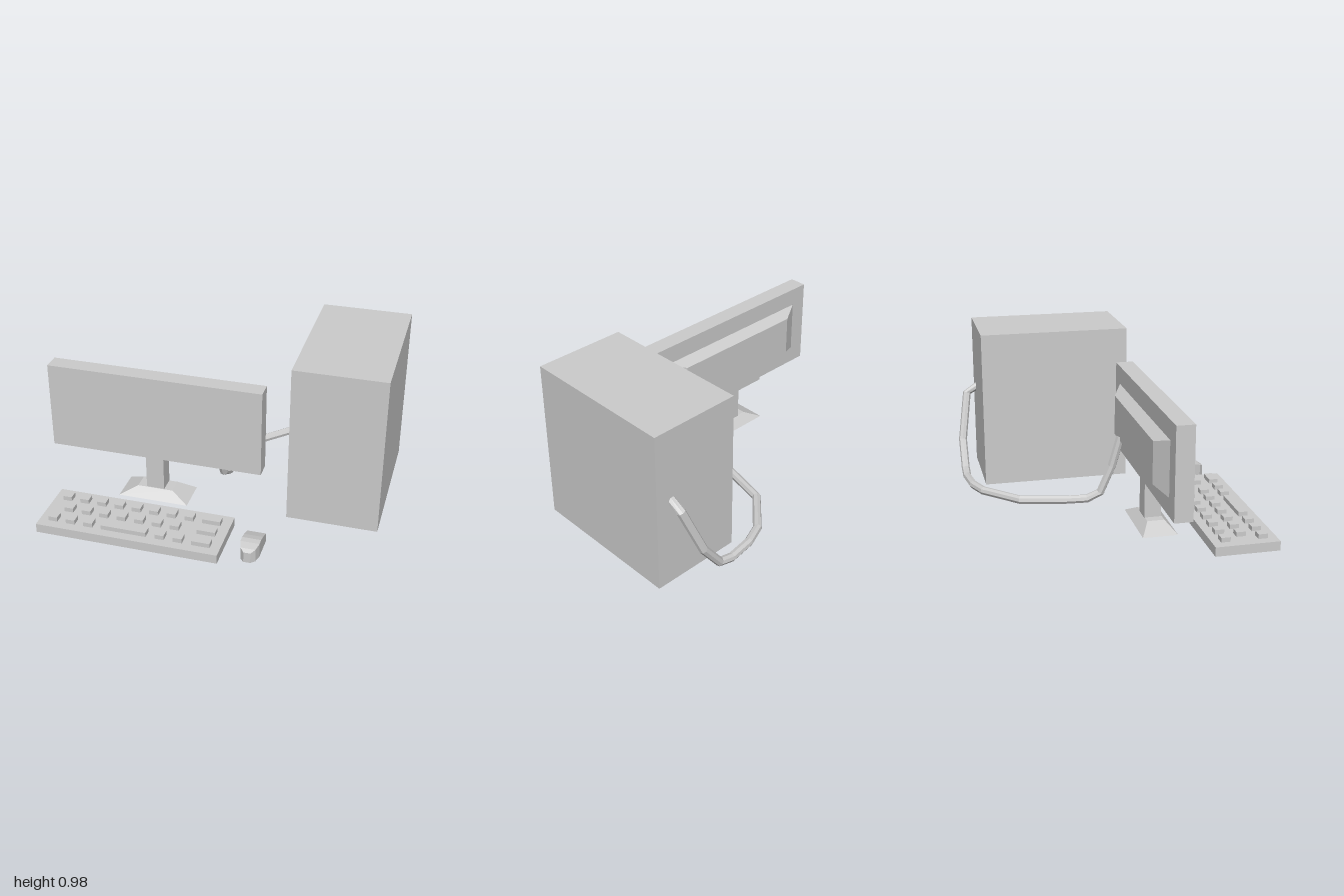
import * as THREE from 'three';

const material = new THREE.MeshStandardMaterial({ color: 0xcccccc, flatShading: true });

function add(group, name, geometry) {
  const mesh = new THREE.Mesh(geometry, material);
  mesh.name = name;
  group.add(mesh);
  return mesh;
}

// Box given by its extents along each axis
function box([x0, x1], [y0, y1], [z0, z1]) {
  return new THREE.BoxGeometry(x1 - x0, y1 - y0, z1 - z0)
    .translate((x0 + x1) / 2, (y0 + y1) / 2, (z0 + z1) / 2);
}

// Box whose upper or rear face shrinks about its centre: scale = [x, y, z]
function taperedBox(xs, ys, zs, isSmallEnd, scale) {
  const geometry = box(xs, ys, zs);
  const p = geometry.attributes.position;
  const centre = [xs, ys, zs].map(([a, b]) => (a + b) / 2);
  for (let i = 0; i < p.count; i++) {
    const v = [p.getX(i), p.getY(i), p.getZ(i)];
    if (isSmallEnd(v, centre)) p.setXYZ(i, ...v.map((c, k) => centre[k] + (c - centre[k]) * scale[k]));
  }
  geometry.computeVertexNormals();
  return geometry;
}

function createMonitor() {
  const g = new THREE.Group();
  g.name = 'monitor';
  add(g, 'screenPanel', box([-1, 0.3], [0.265, 0.8], [0.15, 0.255]));
  add(g, 'rearHousing', taperedBox([-0.9, 0.2], [0.37, 0.69], [0.09, 0.15],
    (v, c) => v[2] < c[2], [0.79, 0.76, 1]));
  add(g, 'standNeck', box([-0.41, -0.3], [0.05, 0.27], [0.15, 0.25]));
  add(g, 'standBase', taperedBox([-0.57, -0.14], [0, 0.055], [0.1, 0.307],
    (v, c) => v[1] > c[1], [0.51, 1, 0.49]));
  return g;
}

function createKeyboard() {
  const g = new THREE.Group();
  g.name = 'keyboard';
  add(g, 'keyboardBase', box([-0.895, 0.19], [0, 0.055], [0.42, 0.795]));
  const key = 0.054, step = 0.108, left = -0.84;
  const addKey = (name, x, z, width = key) =>
    add(g, name, box([x, x + width], [0.05, 0.082], [z, z + key]));
  // Each row: depth, sideways shift in steps, occupied slots
  const rows = [
    [0.47, 0, [0, 1, 2, 3, 4, 5, 6, 7]],
    [0.577, 0.5, [0, 1, 2, 3, 4, 5, 6]],
    [0.686, 0, [0, 1, 2, 6, 7]],
  ];
  for (const [z, shift, slots] of rows) {
    for (const s of slots) addKey('key', left + (s + shift) * step, z);
    addKey('wideKey', left + 8 * step, z, 2 * key);
  }
  addKey('spaceBar', left + 3 * step, 0.686, 5 * key);
  return g;
}

// Cross-sections running from the back of the mouse to its nose
function createMouseGeometry() {
  const sections = [ // z, half width, height
    [0.52, 0.055, 0.055], [0.59, 0.055, 0.08], [0.635, 0.055, 0.091], [0.67, 0.055, 0.089],
    [0.715, 0.043, 0.078], [0.738, 0.02, 0.065],
  ];
  const positions = [], index = [];
  for (const [z, w, h] of sections) positions.push(-w, 0, z, w, 0, z, w, h, z, -w, h, z);
  for (let i = 0; i < sections.length - 1; i++) {
    for (let k = 0; k < 4; k++) {
      const a = i * 4 + k, b = i * 4 + (k + 1) % 4;
      index.push(a, b, b + 4, a, b + 4, a + 4);
    }
  }
  const e = (sections.length - 1) * 4;
  index.push(0, 2, 1, 0, 3, 2, e, e + 1, e + 2, e, e + 2, e + 3);
  const geometry = new THREE.BufferGeometry();
  geometry.setAttribute('position', new THREE.Float32BufferAttribute(positions, 3));
  geometry.setIndex(index);
  geometry.computeVertexNormals();
  return geometry.translate(0.347, 0, 0);
}

// Straight runs between bends, one tube ring per bend
class BentPath extends THREE.Curve {
  constructor(points) {
    super();
    this.points = points.map((p) => new THREE.Vector3(...p));
  }
  getPoint(t, target = new THREE.Vector3()) {
    const n = this.points.length - 1;
    const i = Math.min(Math.floor(t * n + 1e-9), n - 1);
    return target.lerpVectors(this.points[i], this.points[i + 1], t * n - i);
  }
  getUtoTmapping(u) {
    return u;
  }
}

export function createModel() {
  const model = new THREE.Group();
  model.name = 'desktopComputer';
  model.add(createMonitor(), createKeyboard());
  add(model, 'mouse', createMouseGeometry());
  add(model, 'tower', box([0.46, 1], [0, 0.975], [-0.665, 0.255]));

  // Cable from the rear housing, along the floor, up to the back of the tower
  const cable = new BentPath([
    [-0.025, 0.43, 0.1], [-0.012, 0.24, 0.05], [0.0, 0.07, -0.02], [0.012, 0.03, -0.1],
    [0.03, 0.027, -0.24], [0.09, 0.027, -0.5], [0.29, 0.027, -0.7], [0.41, 0.027, -0.75],
    [0.57, 0.027, -0.773], [0.66, 0.05, -0.773], [0.78, 0.21, -0.773],
    [0.89, 0.495, -0.725], [0.895, 0.54, -0.65],
  ]);
  add(model, 'cable', new THREE.TubeGeometry(cable, cable.points.length - 1, 0.026, 8));
  return model;
}
